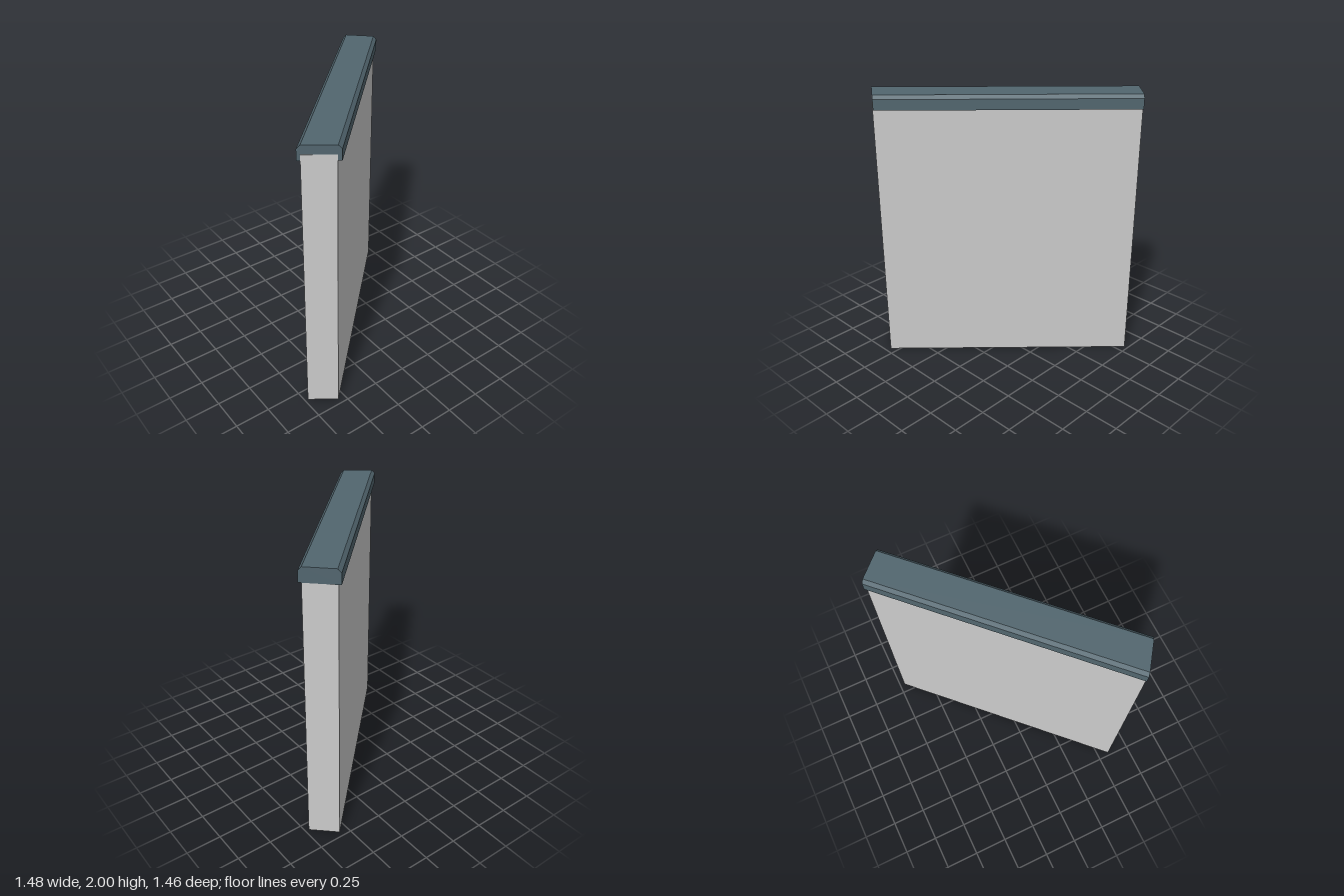
import * as THREE from 'three';

// Lofts an outline of [s, y] points (counter-clockwise) between two end edges.
// Each end is [[x, z] at s = 0, [x, z] at s = 1].
function loft(name, outline, leftEnd, rightEnd, color) {
  const place = ([a, b], [s, y]) => [a[0] + (b[0] - a[0]) * s, y, a[1] + (b[1] - a[1]) * s];
  const L = outline.map((p) => place(leftEnd, p));
  const R = outline.map((p) => place(rightEnd, p));
  const n = outline.length;
  const pos = [];
  const tri = (...pts) => pts.forEach((p) => pos.push(...p));
  for (let i = 0; i < n; i++) {
    const j = (i + 1) % n;
    tri(L[i], R[i], R[j]);
    tri(L[i], R[j], L[j]);
  }
  for (let i = 1; i < n - 1; i++) {
    tri(L[0], L[i], L[i + 1]);
    tri(R[0], R[i + 1], R[i]);
  }
  const geometry = new THREE.BufferGeometry();
  geometry.setAttribute('position', new THREE.Float32BufferAttribute(pos, 3));
  geometry.computeVertexNormals();
  const mesh = new THREE.Mesh(geometry, new THREE.MeshStandardMaterial({ color, flatShading: true }));
  mesh.name = name;
  return mesh;
}

export function createModel() {
  const group = new THREE.Group();
  group.name = 'wallSegment';

  // Diagonal wall slab, its ends almost flush with the coping
  group.add(loft('wall',
    [[0, 0], [1, 0], [1, 1.94], [0, 1.94]],
    [[-0.727, 0.586], [-0.555, 0.712]],
    [[0.567, -0.712], [0.723, -0.563]], 0xcccccc));

  // Coping with chamfered long edges
  group.add(loft('coping',
    [[0, 1.9], [1, 1.9], [1, 1.975], [0.91, 2], [0.09, 2], [0, 1.975]],
    [[-0.745, 0.572], [-0.531, 0.725]],
    [[0.559, -0.73], [0.739, -0.55]], 0x52666f));

  return group;
}
